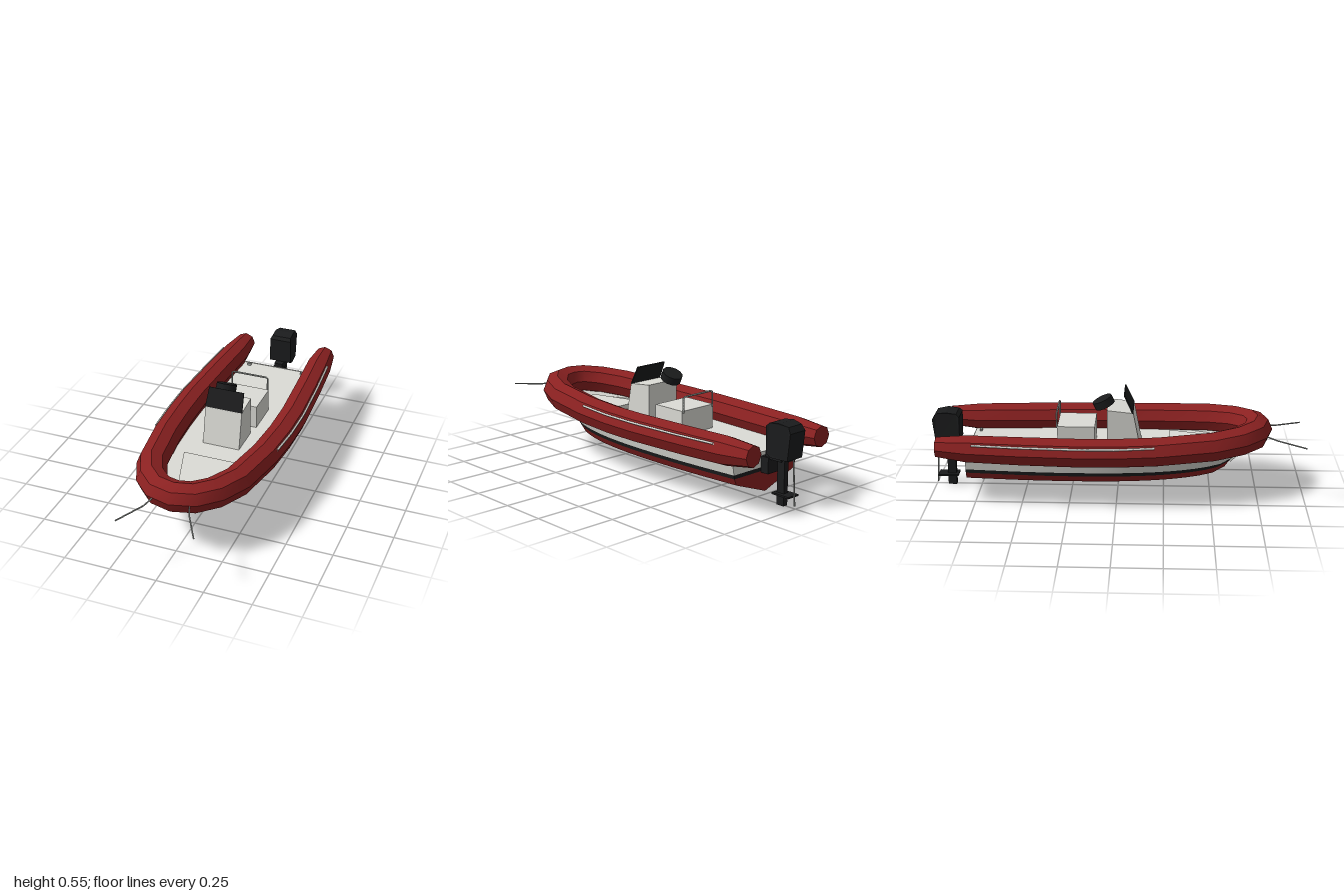
import * as THREE from 'three';
import { toCreasedNormals } from 'three/addons/utils/BufferGeometryUtils.js';

const mat = (name, color, side = THREE.FrontSide) => {
  const m = new THREE.MeshStandardMaterial({ color, side });
  m.name = name;
  return m;
};

export function createModel() {
  const boat = new THREE.Group();
  boat.name = 'inflatableBoat';
  const red = mat('red', 0x8b2121);
  const grey = mat('lightGrey', 0xdcdcd6, THREE.DoubleSide);
  const black = mat('black', 0x1b1c1d);
  const metal = mat('metal', 0xa4a8a4);

  const add = (name, geo, m, x = 0, y = 0, z = 0, rx = 0) => {
    const mesh = new THREE.Mesh(geo, m);
    mesh.name = name;
    mesh.position.set(x, y, z);
    mesh.rotation.x = rx;
    boat.add(mesh);
    return mesh;
  };
  const box = (name, m, w, h, d, x, y, z, rx) => add(name, new THREE.BoxGeometry(w, h, d), m, x, y, z, rx);

  // Thin rod following straight segments
  const rod = (name, pts, r, m) => {
    const path = new THREE.CurvePath();
    const v = pts.map(p => new THREE.Vector3(...p));
    for (let i = 1; i < v.length; i++) path.add(new THREE.LineCurve3(v[i - 1], v[i]));
    return add(name, new THREE.TubeGeometry(path, 8 * (v.length - 1), r, 6), m);
  };

  // Side profile in (z, y), extruded across the boat
  const profile = (name, pts, width, m) => {
    const shape = new THREE.Shape(pts.map(p => new THREE.Vector2(...p)));
    const geo = new THREE.ExtrudeGeometry(shape, { depth: width, bevelEnabled: false });
    geo.translate(0, 0, -width / 2).rotateY(-Math.PI / 2);
    return add(name, geo, m);
  };

  // Narrow a part across x by a factor depending on y and z
  const taper = (mesh, factor) => {
    const p = mesh.geometry.attributes.position;
    for (let i = 0; i < p.count; i++) p.setX(i, p.getX(i) * factor(p.getY(i), p.getZ(i)));
    mesh.geometry.computeVertexNormals();
  };

  // Surface through closed rings of points
  const loft = (rings, crease, closeEnds = false) => {
    const pos = [];
    const tri = (a, b, c) => pos.push(...a, ...b, ...c);
    for (let i = 1; i < rings.length; i++) {
      const a = rings[i - 1], b = rings[i], n = a.length;
      for (let j = 0; j < n; j++) {
        const k = (j + 1) % n;
        tri(a[j], b[j], b[k]);
        tri(a[j], b[k], a[k]);
      }
    }
    if (closeEnds) {
      const f = rings[0], l = rings[rings.length - 1];
      for (let j = 1; j < f.length - 1; j++) {
        tri(f[0], f[j], f[j + 1]);
        tri(l[0], l[j + 1], l[j]);
      }
    }
    const geo = new THREE.BufferGeometry();
    geo.setAttribute('position', new THREE.Float32BufferAttribute(pos, 3));
    return toCreasedNormals(geo, crease);
  };

  // Buoyancy collar: eight-sided tube; stations are x, y, z, radius
  const half = [
    [0.25, 0.308, -0.945, 0.056], [0.257, 0.302, -0.78, 0.076], [0.276, 0.3, -0.5, 0.079],
    [0.292, 0.3, -0.2, 0.08], [0.29, 0.301, 0, 0.08], [0.276, 0.307, 0.22, 0.08],
    [0.232, 0.321, 0.5, 0.08], [0.17, 0.331, 0.64, 0.08], [0.09, 0.338, 0.725, 0.08], [0, 0.34, 0.75, 0.08],
  ];
  const path = [...half, ...half.slice(0, -1).reverse().map(([x, y, z, r]) => [-x, y, z, r])];
  const rings = path.map(([x, y, z, r], i) => {
    const p = path[Math.max(i - 1, 0)], q = path[Math.min(i + 1, path.length - 1)];
    const len = Math.hypot(q[0] - p[0], q[2] - p[2]);
    const nx = (q[2] - p[2]) / len, nz = -(q[0] - p[0]) / len;
    return Array.from({ length: 8 }, (_, k) => {
      const c = Math.cos(k * Math.PI / 4) * r, s = Math.sin(k * Math.PI / 4) * r;
      return [x + nx * c, y - s, z + nz * c];
    });
  });
  add('collar', loft(rings, 0.6, true), red);

  // Hull: waterline loops, each from stern to bow and back
  const STEPS = 20;
  const plan = t => t < 0.4
    ? 0.88 + 0.12 * Math.sin(t / 0.4 * Math.PI / 2)
    : Math.pow(Math.max(0, 1 - Math.pow((t - 0.4) / 0.6, 2.6)), 0.6);
  const waterline = (width, zEnd, yAt) => {
    const side = s => Array.from({ length: STEPS + 1 }, (_, i) => {
      const t = i / STEPS, z = -0.8 + (zEnd + 0.8) * t;
      return [s * width * plan(t), yAt(z), z];
    });
    return [...side(1), ...side(-1).reverse()];
  };
  const keel = waterline(0, 0.58, z => z < 0.15
    ? 0.033 + 0.011 * (0.15 - z) / 0.95
    : 0.033 + 0.087 * ((z - 0.15) / 0.43) ** 2);
  const chine = waterline(0.238, 0.58, () => 0.12);
  const stripeLow = waterline(0.256, 0.605, () => 0.155);
  const stripeTop = waterline(0.26, 0.625, () => 0.175);
  const gunwale = waterline(0.276, 0.73, z => 0.255 + 0.03 * Math.max(0, z / 0.73) ** 2);
  add('hullBottom', loft([keel, chine, stripeLow], 0.35), red);
  add('hullStripe', loft([stripeLow, stripeTop], 0.35), black);
  add('hullTopsides', loft([stripeTop, gunwale], 0.35), grey);

  // Deck fitted to the hull
  const deckLine = waterline(0.274, 0.7, () => 0.25).map(p => new THREE.Vector2(p[0], -p[2]));
  add('deck', new THREE.ShapeGeometry(new THREE.Shape(deckLine)).rotateX(-Math.PI / 2), grey, 0, 0.25, 0);

  // Stem strip and towing eye
  box('stemStrip', grey, 0.016, 0.145, 0.012, 0, 0.207, 0.659, 0.78);
  box('towEye', metal, 0.018, 0.012, 0.02, 0, 0.246, 0.705);

  // Raised bow locker
  const locker = new THREE.Shape([[-0.148, -0.28], [0.148, -0.28], [0.057, -0.58], [-0.057, -0.58]]
    .map(p => new THREE.Vector2(...p)));
  add('bowLocker', new THREE.ExtrudeGeometry(locker, { depth: 0.025, bevelEnabled: false })
    .rotateX(-Math.PI / 2), grey, 0, 0.25, 0);

  // Steering console
  profile('console', [[0.125, 0.25], [0.085, 0.455], [-0.055, 0.47], [-0.055, 0.25]], 0.206, grey);
  const screen = box('windscreen', black, 0.208, 0.107, 0.007, 0, 0.503, 0.06, -0.435);
  taper(screen, y => (y > 0 ? 0.94 : 1));
  add('steeringWheel', new THREE.CylinderGeometry(0.056, 0.056, 0.042, 12), black, -0.045, 0.498, -0.075, -0.44);

  // Helm seat with back rail
  box('seat', grey, 0.226, 0.13, 0.2, 0, 0.315, -0.22);
  rod('seatRail', [[-0.105, 0.37, -0.322], [-0.105, 0.455, -0.322], [0.105, 0.455, -0.322], [0.105, 0.37, -0.322]],
    0.005, metal);

  // Fittings mirrored on both sides
  for (const s of [1, -1]) {
    rod('grabLine', half.slice(1, 6).reverse().map(([x, y, z]) => [s * (x + 0.066), y + 0.043, Math.max(-0.75, Math.min(0.2, z))]),
      0.006, grey);
    rod('bowLine', [[s * 0.095, 0.335, 0.785], [s * 0.12, 0.318, 0.85], [s * 0.205, 0.307, 1]], 0.004, metal);
    box('sternCleat', metal, 0.022, 0.014, 0.012, s * 0.165, 0.257, -0.77);
  }

  // Outboard engine
  box('engineBracket', black, 0.07, 0.085, 0.05, 0, 0.192, -0.822);
  box('engineMount', black, 0.05, 0.04, 0.1, 0, 0.245, -0.87);
  const cowl = profile('engineCowl', [[-0.855, 0.265], [-0.852, 0.405], [-0.868, 0.422], [-0.925, 0.43],
    [-0.982, 0.42], [-1, 0.39], [-0.985, 0.25], [-0.89, 0.25]], 0.128, black);
  taper(cowl, (y, z) => (z < -0.95 ? 0.86 : 1) * (y > 0.41 ? 0.88 : 1));
  box('engineLeg', black, 0.028, 0.26, 0.046, 0, 0.13, -0.912);
  box('cavitationPlate', black, 0.075, 0.009, 0.11, 0, 0.06, -0.93);
  rod('engineRod', [[0, 0.26, -0.978], [0, 0.012, -0.994]], 0.004, metal);

  return boat;
}
